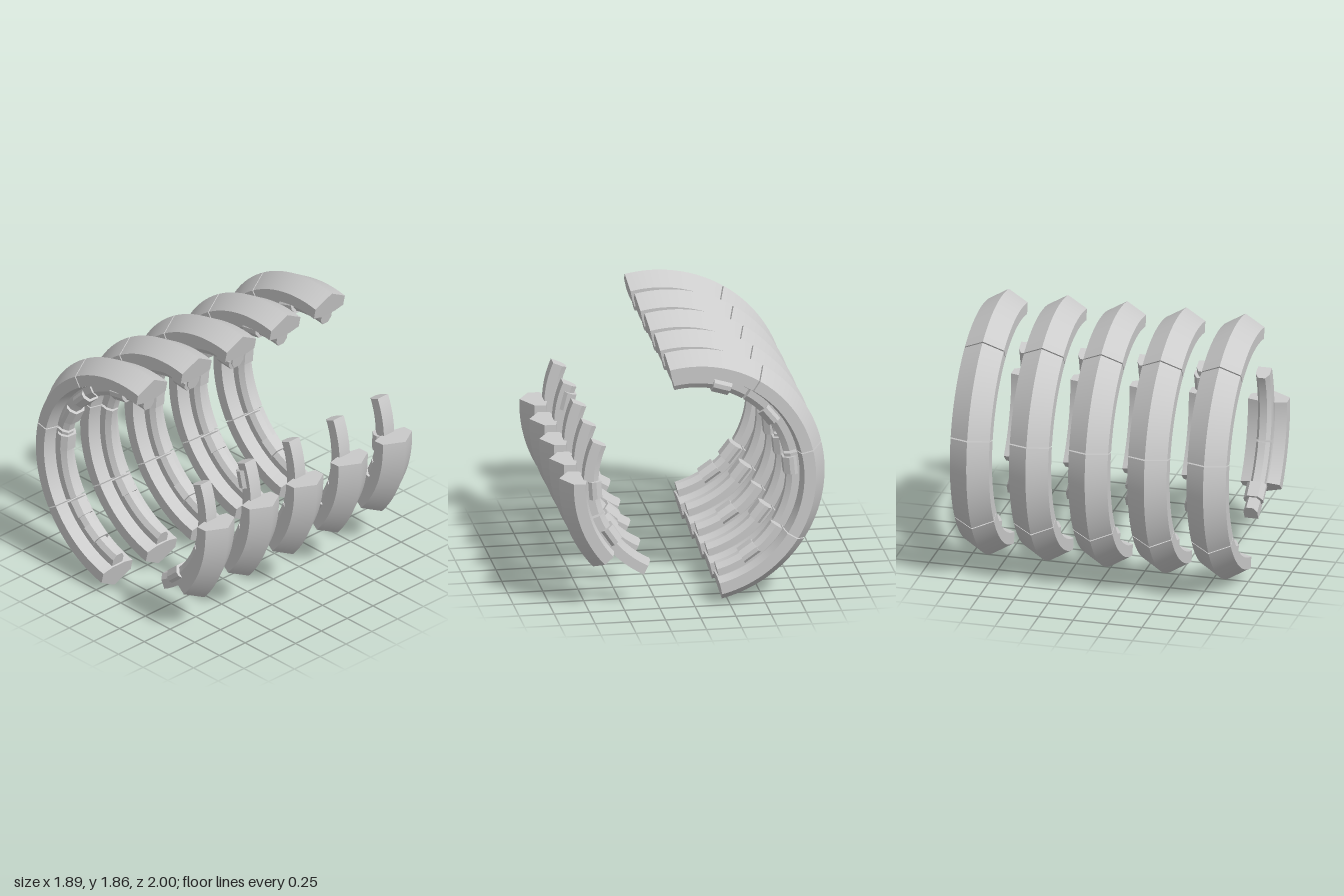
import * as THREE from 'three';

const CY = 0.92; // height of the ring axis
const DEG = Math.PI / 180;
const material = new THREE.MeshStandardMaterial({ color: 0xcccccc, side: THREE.DoubleSide });

// Convex cross-sections as [radius, z], counter-clockwise
const RIB = [[0.943, 0], [0.86, 0.142], [0.777, 0.142], [0.757, 0.06],
  [0.757, -0.06], [0.777, -0.142], [0.86, -0.142]];
const RAIL = [[0.775, -0.05], [0.775, 0.05], [0.705, 0.05], [0.667, 0.026],
  [0.667, -0.026], [0.705, -0.05]];
const COLLAR = [[0.745, -0.05], [0.745, 0.05], [0.722, 0.07], [0.69, 0.07],
  [0.65, 0.04], [0.65, -0.04], [0.69, -0.07], [0.722, -0.07]];

// Sweeps a cross-section around the ring axis: smooth along the arc, sharp between faces
function arcGeometry(profile, from, to, steps) {
  const pos = [], index = [], n = profile.length;
  const put = ([r, z], a) => pos.push(r * Math.cos(a * DEG), CY + r * Math.sin(a * DEG), z);
  for (let j = 0; j < n; j++) {
    const base = pos.length / 3;
    for (let i = 0; i <= steps; i++) {
      const a = from + (to - from) * i / steps;
      put(profile[j], a);
      put(profile[(j + 1) % n], a);
      if (i < steps) {
        const k = base + i * 2;
        index.push(k, k + 2, k + 1, k + 1, k + 2, k + 3);
      }
    }
  }
  for (const a of [from, to]) {
    const base = pos.length / 3;
    profile.forEach(p => put(p, a));
    for (let j = 1; j < n - 1; j++) {
      if (a === from) index.push(base, base + j, base + j + 1);
      else index.push(base, base + j + 1, base + j);
    }
  }
  const geo = new THREE.BufferGeometry();
  geo.setAttribute('position', new THREE.Float32BufferAttribute(pos, 3));
  geo.setIndex(index);
  geo.computeVertexNormals();
  return geo;
}

// Start and end angles of the segments, in degrees
const RIBS = [[78.1, 122], [122.6, 166.9], [167.5, 211.7], [212.3, 257], [-41.9, 2.2]];
const RAILS = [[79, 121.6], [123, 166.3], [168, 211.2], [212.8, 256], [-63.3, -20], [-18.6, 23.4]];

// Collar angles for each ring, front to back
const RINGS = [
  { z: 0.86, collars: [100, 135.5, 154, 175, 218, 235, -50] },
  { z: 0.43, collars: [85, 218, 14] },
  { z: 0, collars: [85, 175, 236, -50] },
  { z: -0.43, collars: [100, 135.5, 154, 175, 218, -40] },
  { z: -0.86, collars: [107, 141, 175, 235, -34, -4] },
];

export function createModel() {
  const model = new THREE.Group();
  model.name = 'ribbedRings';

  const ribs = RIBS.map(([a, b]) => arcGeometry(RIB, a, b, 20));
  const rails = RAILS.map(([a, b]) => arcGeometry(RAIL, a, b, 20));

  RINGS.forEach(({ z, collars }) => {
    const ring = new THREE.Group();
    ring.name = 'ring';
    ring.position.z = z;
    const add = (geo, name) => {
      const mesh = new THREE.Mesh(geo, material);
      mesh.name = name;
      ring.add(mesh);
    };
    // Outer ridged segments
    ribs.forEach(g => add(g, 'outerRib'));
    // Narrow rails along the inside
    rails.forEach(g => add(g, 'innerRail'));
    // Straight collars clamped round the rails
    collars.forEach(a => add(arcGeometry(COLLAR, a - 5.2, a + 5.2, 1), 'railCollar'));
    model.add(ring);
  });
  return model;
}
